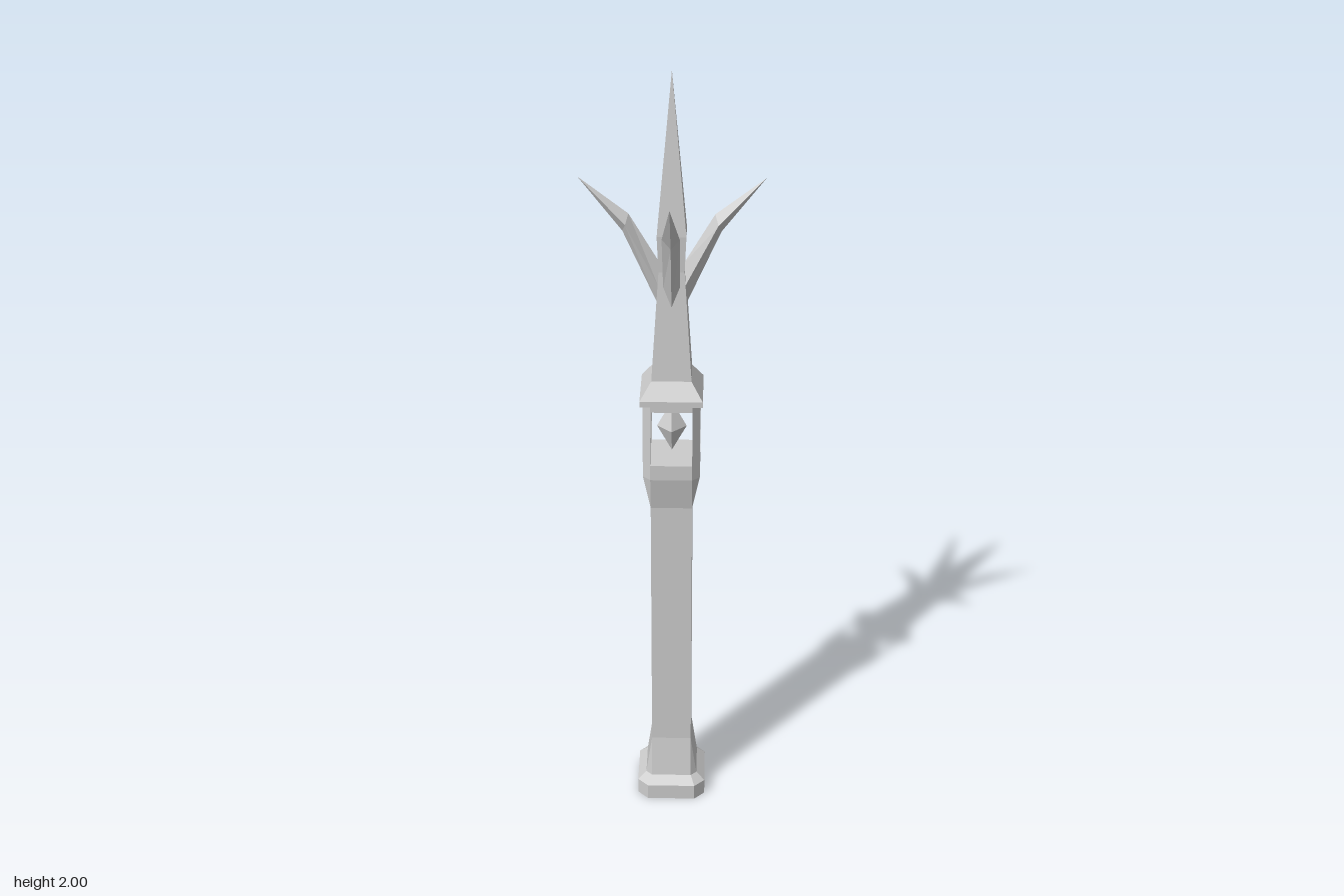
import * as THREE from 'three';

const stone = new THREE.MeshStandardMaterial({ color: 0xcccccc });
stone.name = 'pale stone';

// Flat-shaded skin through a list of rings with equal point counts, capped at both ends
function loft(rings) {
  const out = [];
  const tri = (a, b, c) => {
    const n = b.clone().sub(a).cross(c.clone().sub(a));
    if (n.lengthSq() > 1e-14) [a, b, c].forEach(p => out.push(p.x, p.y, p.z));
  };
  const n = rings[0].length;
  for (let r = 0; r < rings.length - 1; r++) {
    for (let i = 0; i < n; i++) {
      const j = (i + 1) % n;
      tri(rings[r][i], rings[r][j], rings[r + 1][j]);
      tri(rings[r][i], rings[r + 1][j], rings[r + 1][i]);
    }
  }
  const first = rings[0], last = rings[rings.length - 1];
  for (let i = 1; i < n - 1; i++) {
    tri(first[0], first[i + 1], first[i]);
    tri(last[0], last[i], last[i + 1]);
  }
  const g = new THREE.BufferGeometry();
  g.setAttribute('position', new THREE.Float32BufferAttribute(out, 3));
  g.computeVertexNormals();
  return g;
}

// Square with cut corners: h is the half width, f the half length of each straight side
const section = (y, h, f = h) =>
  [[h, f], [h, -f], [f, -h], [-f, -h], [-h, -f], [-h, f], [-f, h], [f, h]]
    .map(([x, z]) => new THREE.Vector3(x, y, z));

const column = levels => loft(levels.map(l => section(...l)));

// Diamond section of a thorn growing along +x
const diamond = (xTop, yTop, xLow, yLow, w) => {
  const x = (xTop + xLow) / 2, y = (yTop + yLow) / 2;
  return [[xTop, yTop, 0], [x, y, w], [xLow, yLow, 0], [x, y, -w]]
    .map(p => new THREE.Vector3(...p));
};

export function createModel() {
  const group = new THREE.Group();
  const add = (name, geometry) => {
    const m = new THREE.Mesh(geometry, stone);
    m.name = name;
    group.add(m);
    return m;
  };

  // Foot, shaft and the flared lantern floor
  add('shaft', column([
    [0, 0.09, 0.063], [0.043, 0.09, 0.063], [0.063, 0.068, 0.053],
    [0.175, 0.052], [0.89, 0.052], [0.98, 0.071, 0.052], [1.02, 0.071, 0.052],
  ]));

  // Triangular posts at the four cut corners
  const post = loft([1.02, 1.17].map(y => [[0.052, 0.071], [0.071, 0.052], [0.052, 0.052]]
    .map(([x, z]) => new THREE.Vector3(x, y, z))));
  for (let i = 0; i < 4; i++) add('lanternPost', post).rotation.y = i * Math.PI / 2;

  // Floating crystal
  const crystal = add('crystal', new THREE.OctahedronGeometry(1));
  crystal.scale.set(0.037, 0.068, 0.037);
  crystal.position.y = 1.097;

  // Lintel, roof and spire
  add('lintel', column([[1.168, 0.071, 0.052], [1.187, 0.071, 0.052]]));
  add('roof', column([[1.185, 0.077], [1.2, 0.077], [1.242, 0.049]]));
  add('spire', column([
    [1.24, 0.049], [1.43, 0.037], [1.52, 0.031], [1.61, 0.035], [2, 0],
  ]));

  // Four bent thorns around the spire
  const thorn = loft([
    diamond(0.028, 1.53, 0.036, 1.43, 0.02),
    diamond(0.102, 1.655, 0.117, 1.612, 0.021),
    diamond(0.22, 1.745, 0.22, 1.745, 0),
  ]);
  for (let i = 0; i < 4; i++) add('thorn', thorn).rotation.y = i * Math.PI / 2;

  return group;
}
